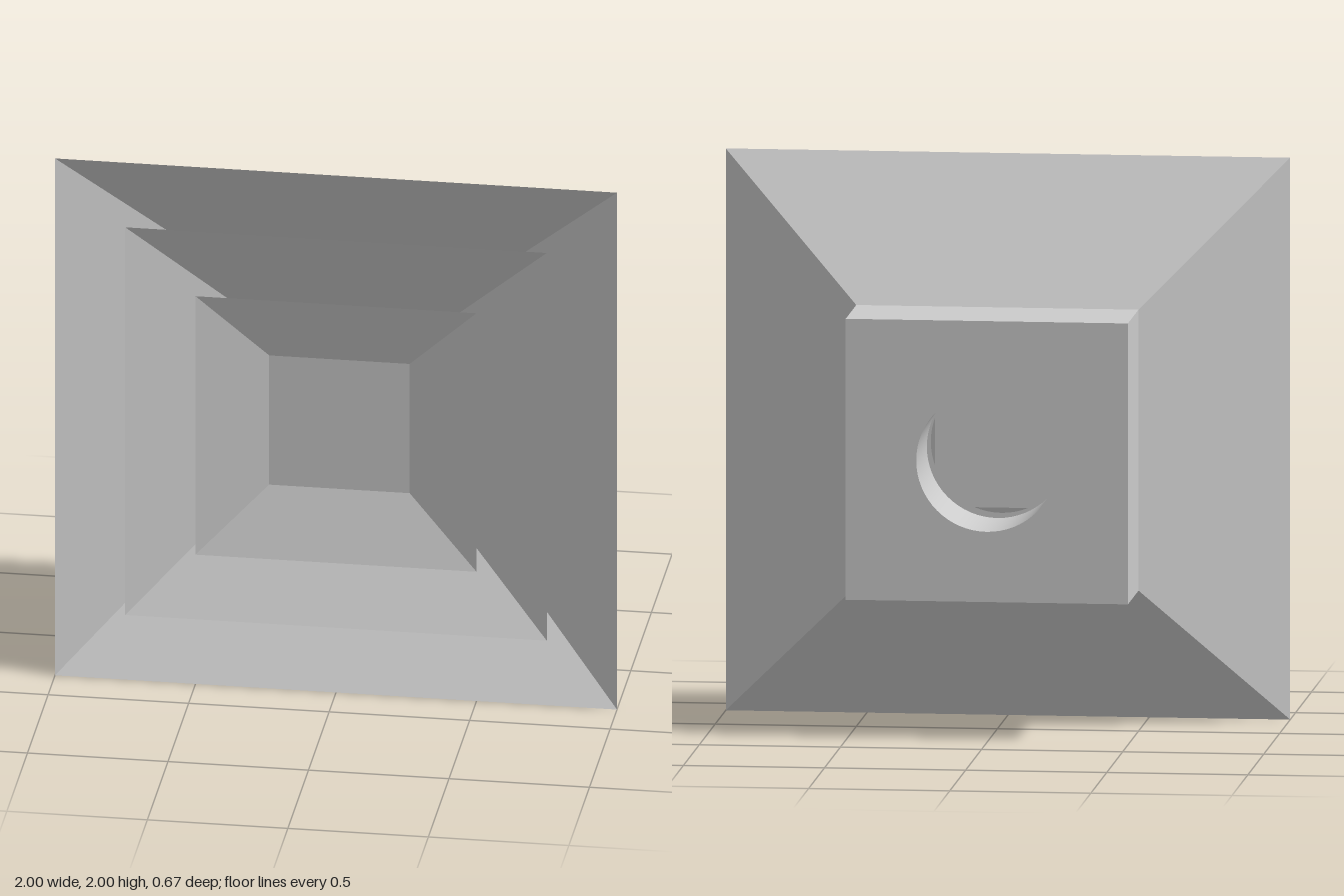
import * as THREE from 'three';

const FRONT = 1 / 3, BACK = -1 / 3, HOLE = 0.25;

const material = new THREE.MeshStandardMaterial({
  color: 0xcccccc, flatShading: true, side: THREE.DoubleSide,
});
const smooth = new THREE.MeshStandardMaterial({ color: 0xcccccc, side: THREE.DoubleSide });

function mesh(name, geometry, mat = material) {
  const m = new THREE.Mesh(geometry, mat);
  m.name = name;
  return m;
}

// Open square funnel: half-width `front` at the face, `back` at depth zBack
function funnel(front, back, zBack) {
  const depth = FRONT - zBack;
  return new THREE.CylinderGeometry(front * Math.SQRT2, back * Math.SQRT2, depth, 4, 1, true)
    .rotateY(Math.PI / 4)
    .rotateX(Math.PI / 2)
    .translate(0, 0, zBack + depth / 2);
}

// Flat square plate, optionally with the round air hole
function plate(half, z, hole) {
  const shape = new THREE.Shape([
    new THREE.Vector2(-half, -half), new THREE.Vector2(half, -half),
    new THREE.Vector2(half, half), new THREE.Vector2(-half, half),
  ]);
  if (hole) shape.holes.push(new THREE.Path().absarc(0, 0, HOLE, 0, Math.PI * 2, true));
  return new THREE.ShapeGeometry(shape, 32).translate(0, 0, z);
}

export function createModel() {
  const model = new THREE.Group();
  model.name = 'squareCeilingDiffuser';

  // Three nested cones, all flush at the face; only the centre one is closed
  const cones = [
    { name: 'outerCone', front: 1, back: 0.5, z: 0, hole: true },
    { name: 'middleCone', front: 0.75, back: 0.375, z: 0.125, hole: true },
    { name: 'centreCone', front: 0.5, back: 0.25, z: 0.25, hole: false },
  ];
  for (const c of cones) {
    const cone = new THREE.Group();
    cone.name = c.name;
    cone.add(
      mesh(c.name + 'Flare', funnel(c.front, c.back, c.z)),
      mesh(c.name + 'BackPlate', plate(c.back, c.z, c.hole)),
    );
    model.add(cone);
  }

  // Square neck behind the cones, bored through by a round duct
  const neck = new THREE.Group();
  neck.name = 'neck';
  const length = -BACK;
  const sides = new THREE.CylinderGeometry(0.5 * Math.SQRT2, 0.5 * Math.SQRT2, length, 4, 1, true)
    .rotateY(Math.PI / 4).rotateX(Math.PI / 2).translate(0, 0, BACK / 2);
  const bore = new THREE.CylinderGeometry(HOLE, HOLE, length, 64, 1, true)
    .rotateX(Math.PI / 2).translate(0, 0, BACK / 2);
  neck.add(
    mesh('neckSides', sides),
    mesh('neckBackPlate', plate(0.5, BACK, true)),
    mesh('ductBore', bore, smooth),
  );
  model.add(neck);

  // Stand the face on the ground
  model.children.forEach((part) => { part.position.y = 1; });
  return model;
}
